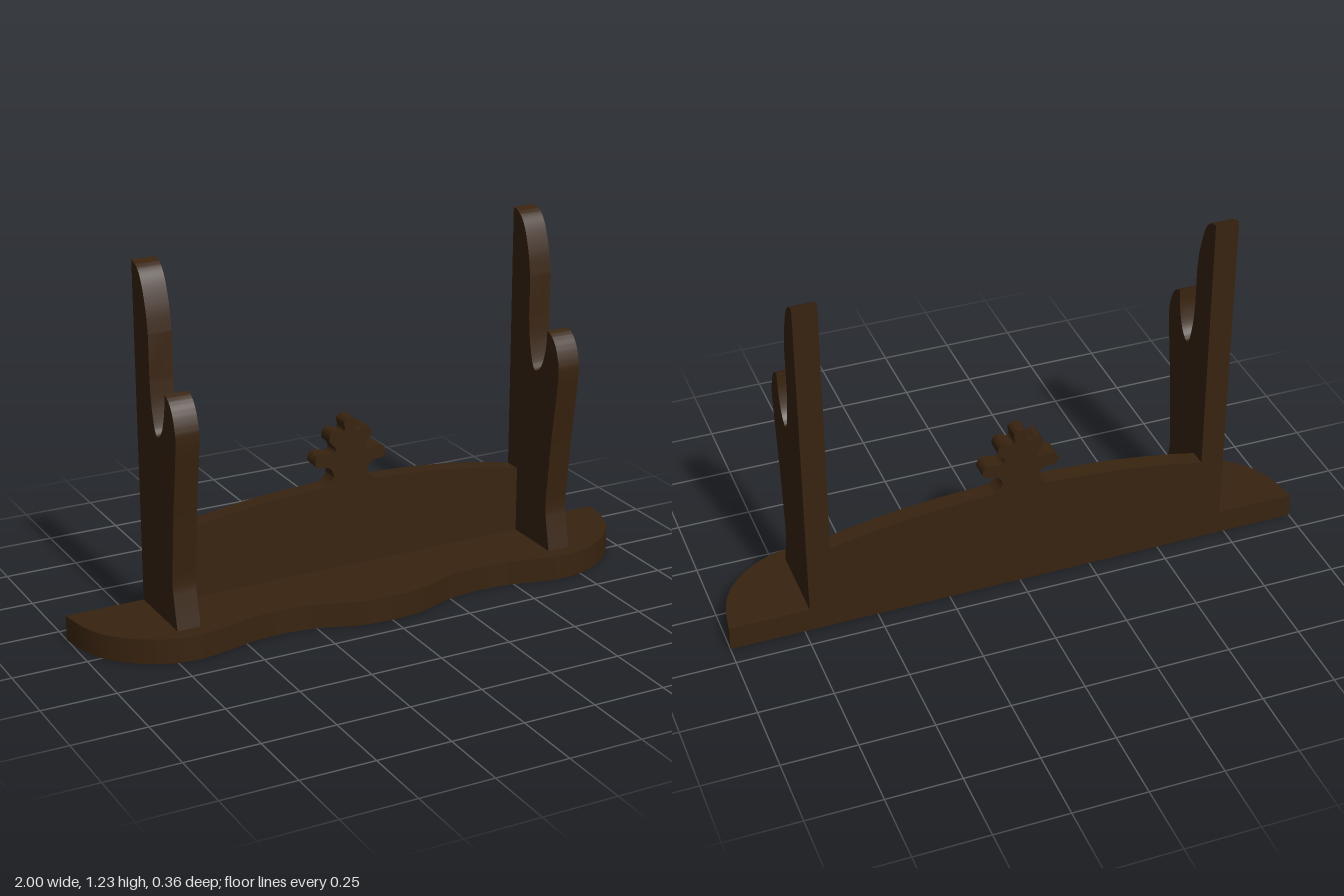
import * as THREE from 'three';
import { toCreasedNormals } from 'three/addons/utils/BufferGeometryUtils.js';

const wood = new THREE.MeshStandardMaterial({ color: 0x38230f });
wood.name = 'dark wood';

// Smooth points through a short list of [x, y] pairs
const smooth = (pts, n) =>
  new THREE.SplineCurve(pts.map(([x, y]) => new THREE.Vector2(x, y))).getPoints(n);

// Closed outline symmetric about x = 0, from its right half (ending or starting on x = 0)
const mirrored = (half) => [
  ...half,
  ...half.slice().reverse().filter((p) => Math.abs(p.x) > 1e-4).map((p) => new THREE.Vector2(-p.x, p.y)),
];

const slab = (points, depth) =>
  new THREE.ExtrudeGeometry(new THREE.Shape(points), { depth, bevelEnabled: false });

function addMesh(group, name, geometry) {
  const mesh = new THREE.Mesh(toCreasedNormals(geometry, 0.6), wood);
  mesh.name = name;
  group.add(mesh);
  return mesh;
}

export function createModel() {
  const group = new THREE.Group();
  group.name = 'displayStand';

  // Base board with a wavy front edge
  const edge = smooth([
    [1, -0.18], [0.98, -0.07], [0.94, 0.015], [0.87, 0.085], [0.78, 0.135], [0.68, 0.152],
    [0.58, 0.137], [0.48, 0.113], [0.37, 0.105], [0.26, 0.117], [0.18, 0.143], [0.1, 0.168], [0, 0.176],
  ], 60);
  addMesh(group, 'base', slab(mirrored(edge), 0.085).rotateX(Math.PI / 2).translate(0, 0.085, 0));

  // Upright profile as (z, y): front edge, cradle notch, tall back horn
  const profile = [
    ...smooth([
      [0.096, 0.085], [0.077, 0.175], [0.068, 0.24], [0.077, 0.338], [0.093, 0.485], [0.119, 0.664],
      [0.126, 0.73], [0.122, 0.77], [0.103, 0.82], [0.077, 0.85], [0.05, 0.863],
    ], 50),
    ...smooth([
      [0.05, 0.863], [0.044, 0.8], [0.021, 0.733], [-0.013, 0.703], [-0.036, 0.72],
      [-0.057, 0.795], [-0.066, 0.876],
    ], 32).slice(1),
    ...smooth([
      [-0.066, 1.02], [-0.08, 1.1], [-0.108, 1.18], [-0.14, 1.22], [-0.18, 1.234],
    ], 24),
    new THREE.Vector2(-0.18, 0.085),
  ];
  for (const [name, x] of [['leftUpright', 0.73], ['rightUpright', -0.65]]) {
    addMesh(group, name, slab(profile, 0.08).rotateY(-Math.PI / 2).translate(x, 0, 0));
  }

  // Back panel with an arched top and a lobed finial in one outline
  const arch = smooth([[0.65, 0.315], [0.55, 0.335], [0.42, 0.355], [0.28, 0.37], [0.1, 0.38]], 24);
  const finial = smooth([
    [0.1, 0.38], [0.082, 0.388], [0.063, 0.41], [0.072, 0.438], [0.09, 0.449], [0.115, 0.45],
    [0.132, 0.468], [0.122, 0.492], [0.1, 0.498], [0.07, 0.49], [0.055, 0.503], [0.062, 0.52],
    [0.077, 0.537], [0.075, 0.562], [0.058, 0.575], [0.042, 0.567], [0.026, 0.563], [0.02, 0.575],
    [0.024, 0.595], [0.013, 0.609], [0, 0.613],
  ], 100);
  const panel = mirrored([new THREE.Vector2(0.65, 0.085), ...arch, ...finial.slice(1)]);
  addMesh(group, 'backPanel', slab(panel, 0.06).translate(0, 0, -0.18));

  return group;
}
